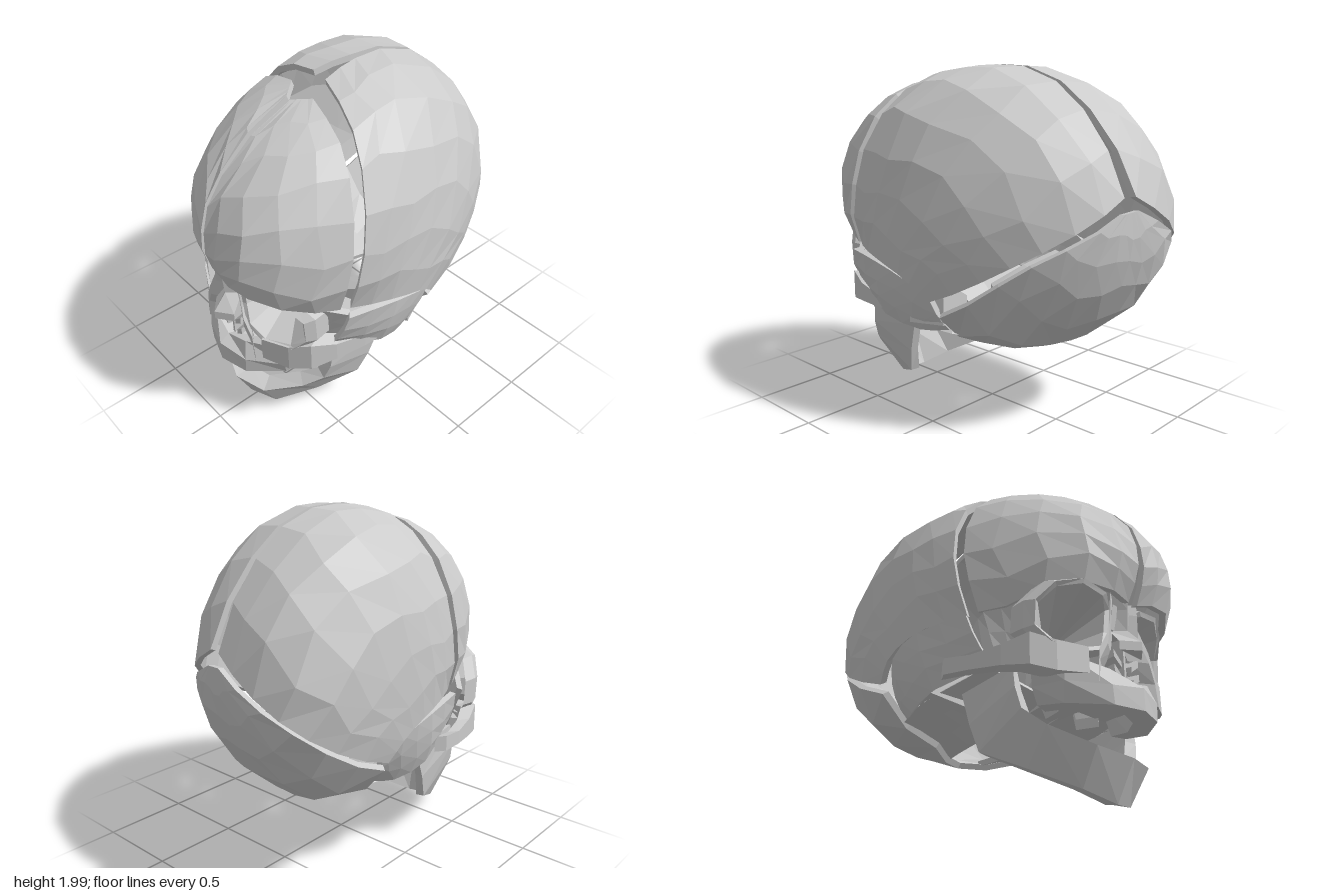
import * as THREE from 'three';

const bone = new THREE.MeshStandardMaterial({ color: 0xcccccc, flatShading: true });
const thinBone = new THREE.MeshStandardMaterial({ color: 0xcccccc, flatShading: true, side: THREE.DoubleSide });
const V = (p) => new THREE.Vector3(...p);
const flip = (p, s) => [p[0] * s, p[1], p[2]];
const center = new THREE.Vector3(0, 1.15, 0);

// Midline outline of the braincase as [z, y], turned into angle and radius
const outline = [
  [-0.96, 1.1], [-0.86, 0.8], [-0.6, 0.52], [-0.36, 0.42], [-0.1, 0.49], [0.1, 0.55], [0.35, 0.65],
  [0.6, 0.85], [0.87, 1.03], [0.93, 1.16], [0.96, 1.29], [0.9, 1.53], [0.69, 1.76], [0.3, 1.93],
  [-0.1, 2.0], [-0.37, 1.97], [-0.6, 1.83], [-0.83, 1.58], [-0.93, 1.4], [-0.96, 1.25],
].map(([z, y]) => [Math.atan2(y - 1.15, z), Math.hypot(y - 1.15, z)]);
outline.push([outline[0][0] + 2 * Math.PI, outline[0][1]]);

// Radial projection on to the braincase: midline outline rounded out to the sides
function project(p) {
  const d = p.clone().sub(center).normalize();
  let a = Math.atan2(d.y, d.z);
  if (a < outline[0][0]) a += 2 * Math.PI;
  const i = Math.max(1, outline.findIndex((q) => q[0] >= a));
  const [a0, r0] = outline[i - 1], [a1, r1] = outline[i];
  const R = r0 + ((r1 - r0) * (a - a0)) / (a1 - a0);
  // fuller at the back right, flatter at the back left, narrower at the forehead
  const n = 2.5 + 0.85 * d.x * Math.min(d.z, 0);
  const width = 0.695 - 0.09 * Math.max(d.z - 0.1, 0);
  const r = ((Math.abs(d.x) / width) ** n + (Math.hypot(d.y, d.z) / R) ** n) ** (-1 / n);
  return d.multiplyScalar(r).add(center);
}

// Skin over a row of equal rings, capped at both ends, sheared for the lopsided skull
function loft(name, rings, { shear = 0.05, open = false } = {}) {
  const n = rings[0].length, last = (rings.length - 1) * n;
  const pos = [], idx = [];
  const quad = (a, b, c, d) => idx.push(a, b, c, a, c, d);
  rings.flat().forEach((p) => pos.push(p.x, p.y, p.z + shear * p.x));
  for (let j = 0; j < rings.length - 1; j++)
    for (let i = 0; i < n; i++) {
      const k = (i + 1) % n;
      quad(j * n + i, j * n + k, (j + 1) * n + k, (j + 1) * n + i);
    }
  if (!open)
    for (let i = 0; i < Math.floor((n - 1) / 2); i++) {
      quad(i + 1, i, n - 1 - i, n - 2 - i);
      quad(last + i, last + i + 1, last + n - 2 - i, last + n - 1 - i);
    }
  // turn the faces outwards
  let volume = 0;
  const at = (i) => new THREE.Vector3().fromArray(pos, i * 3);
  for (let t = 0; t < idx.length; t += 3) volume += at(idx[t]).dot(at(idx[t + 1]).cross(at(idx[t + 2])));
  if (volume < 0) idx.reverse();
  let geo = new THREE.BufferGeometry();
  geo.setAttribute('position', new THREE.Float32BufferAttribute(pos, 3));
  geo.setIndex(idx);
  geo = geo.toNonIndexed();
  geo.computeVertexNormals();
  const mesh = new THREE.Mesh(geo, open ? thinBone : bone);
  mesh.name = name;
  return mesh;
}

// Thick plate filling four edges; left and right list only the points between the corners
function plate(name, e, s = 1) {
  const { bottom, top, left = [], right = [], nu = 7, nv = 7, curved = true, thick = 0.035, shear = 0.2 } = e;
  const curve = (pts) => new THREE.CatmullRomCurve3(pts.map((p) => V(flip(p, s))));
  const B = curve(bottom), T = curve(top);
  const L = curve([bottom[0], ...left, top[0]]);
  const R = curve([bottom.at(-1), ...right, top.at(-1)]);
  const rings = [];
  for (let j = 0; j <= nv; j++) {
    const outer = [];
    for (let i = 0; i <= nu; i++) {
      // inner grid points wander a little for irregular facets
      const inside = i > 0 && i < nu && j > 0 && j < nv;
      const u = i / nu + (inside ? (0.2 / nu) * Math.sin(i * 12.9 + j * 78.2) : 0);
      const v = j / nv + (inside ? (0.14 / nv) * Math.sin(i * 39.3 + j * 11.1) : 0);
      const p = B.getPoint(u).multiplyScalar(1 - v).addScaledVector(T.getPoint(u), v)
        .addScaledVector(L.getPoint(v), 1 - u).addScaledVector(R.getPoint(v), u)
        .addScaledVector(B.getPoint(0), -(1 - u) * (1 - v)).addScaledVector(B.getPoint(1), -u * (1 - v))
        .addScaledVector(T.getPoint(0), -(1 - u) * v).addScaledVector(T.getPoint(1), -u * v);
      outer.push(curved ? project(p) : p);
    }
    const inner = outer.map((p) => p.clone().lerp(center, thick / p.distanceTo(center)));
    rings.push([...outer, ...inner.reverse()]);
  }
  return loft(name, rings, { shear });
}

// Rings for an arch that runs from one side, across the middle, to the other
const arch = (half) => [
  ...half.slice(1).reverse().map((r) => r.map((p) => V(flip(p, -1)))),
  ...half.map((r) => r.map(V)),
];

// Bar through [x, y, z, half height, half depth, half width] stations
const bar = (name, st, s) => loft(name, st.map(([x, y, z, h, d, w = 0.02]) =>
  [[x + w, y + h, z + d], [x + w, y - h, z + d], [x - w, y - h, z - d], [x - w, y + h, z - d]]
    .map((p) => V(flip(p, s)))));

export function createModel() {
  const model = new THREE.Group();
  const cranium = new THREE.Group(), face = new THREE.Group();
  cranium.name = 'cranium';
  face.name = 'face';
  face.position.x = -0.02;
  model.add(cranium, face);

  for (const s of [1, -1]) {
    const side = s > 0 ? 'left' : 'right';
    const add = (name, e) => cranium.add(plate(side + name, e, s));
    // vault plates with open seams between them
    add('FrontalBone', {
      bottom: [[0.03, 1.05, 0.9], [0.16, 1.09, 0.88], [0.36, 1.1, 0.78], [0.5, 1.0, 0.6], [0.6, 0.98, 0.45]],
      top: [[0.02, 1.89, 0.36], [0.11, 1.92, 0.28]],
      left: [[0.018, 1.29, 0.95], [0.012, 1.6, 0.84]],
      right: [[0.62, 1.4, 0.37], [0.42, 1.8, 0.3]], nu: 5, nv: 7,
    });
    add('ParietalBone', {
      bottom: [[0.62, 0.97, 0.39], [0.68, 0.95, 0.1], [0.66, 0.88, -0.12], [0.6, 0.78, -0.22]],
      top: [[0.06, 1.97, 0.17], [0.02, 2, -0.1], [0.02, 1.83, -0.6], [0.04, 1.36, -0.95]],
      left: [[0.62, 1.4, 0.3], [0.42, 1.82, 0.22]],
      right: [[0.43, 1.07, -0.7]], nu: 7, nv: 7,
    });
    // side of the head and floor
    add('TemporalBone', {
      bottom: [[0.5, 0.7, 0.45], [0.6, 0.62, 0.15], [0.55, 0.57, -0.08], [0.47, 0.58, -0.22]],
      top: [[0.62, 0.96, 0.4], [0.68, 0.945, 0.1], [0.655, 0.87, -0.12], [0.585, 0.76, -0.21]],
      left: [[0.58, 0.82, 0.43]], right: [[0.54, 0.66, -0.22]], nu: 6, nv: 3, curved: false,
    });
    add('SkullBase', {
      bottom: [[0.1, 0.45, -0.36], [0.48, 0.57, -0.24]],
      top: [[0.08, 0.62, 0.4], [0.5, 0.7, 0.42]],
      left: [[0.14, 0.48, -0.1], [0.08, 0.54, 0.12]], right: [[0.55, 0.6, 0]], nu: 4, nv: 6, curved: false,
    });
    cranium.add(bar(side + 'PetrousRidge', [
      [0.14, 0.6, 0.14, 0.05, 0.04, 0.03], [0.34, 0.66, 0.03, 0.09, 0.07, 0.04], [0.56, 0.72, -0.06, 0.1, 0.09, 0.04],
    ], s));
    add('SphenoidWing', {
      bottom: [[0.34, 0.66, 0.5], [0.5, 0.7, 0.44]], top: [[0.46, 0.99, 0.6], [0.6, 0.95, 0.44]],
      nu: 3, nv: 3, curved: false, shear: 0.1,
    });

    // eye socket: rolled rim running back into a funnel
    const rim = [
      [0.1, 1.0, 0.79], [0.16, 1.05, 0.83], [0.3, 1.07, 0.82], [0.42, 1.03, 0.75], [0.48, 0.94, 0.68],
      [0.48, 0.82, 0.67], [0.42, 0.75, 0.72], [0.28, 0.73, 0.79], [0.17, 0.77, 0.81], [0.12, 0.87, 0.79],
    ];
    const ring = (k, dz) => rim.map(([x, y, z]) => V(flip([0.3 + (x - 0.3) * k, 0.89 + (y - 0.89) * k, z + dz], s)));
    const apex = V(flip([0.14, 0.86, 0.42], s));
    const inward = (t) => ring(1, 0).map((p) => p.lerp(apex, t));
    face.add(loft(side + 'EyeSocket',
      [ring(1.2, -0.14), ring(1.26, -0.05), ring(1.14, 0.01), ring(1, 0), inward(0.25), inward(0.6), inward(0.95)],
      { open: true }));

    // cheekbone and its arch back to the temple
    face.add(bar(side + 'Cheekbone', [
      [0.25, 0.66, 0.76, 0.07, 0.05], [0.4, 0.66, 0.69, 0.08, 0.05], [0.5, 0.69, 0.61, 0.085, 0.05],
      [0.55, 0.68, 0.48, 0.055, 0.04], [0.59, 0.68, 0.32, 0.04, 0.03], [0.61, 0.7, 0.16, 0.045, 0.03],
    ], s));
    // side wall of the nose, from the upper jaw to the brow
    face.add(bar(side + 'NoseSide', [
      [0.17, 0.58, 0.8, 0.03, 0.04, 0.07], [0.165, 0.7, 0.8, 0.03, 0.04, 0.06], [0.12, 0.8, 0.82, 0.03, 0.03, 0.05],
      [0.07, 0.92, 0.8, 0.03, 0.03, 0.05], [0.06, 1.06, 0.81, 0.03, 0.03, 0.05],
    ], s));
    face.add(bar(side + 'Pterygoid', [[0.14, 0.53, 0.46, 0.03, 0.06], [0.17, 0.72, 0.42, 0.03, 0.08]], s));
    face.add(bar(side + 'LowerTurbinate', [[0.03, 0.63, 0.75, 0.015, 0.08], [0.08, 0.67, 0.73, 0.02, 0.1]], s));
    face.add(bar(side + 'UpperTurbinate', [[0.02, 0.7, 0.75, 0.015, 0.08], [0.08, 0.75, 0.73, 0.02, 0.1]], s));
  }

  // back of the head, its right seam nearly closed
  cranium.add(plate('occipitalBone', {
    bottom: [[-0.57, 0.74, -0.22], [-0.27, 0.48, -0.23], [0, 0.42, -0.4], [0.27, 0.48, -0.23], [0.54, 0.7, -0.24]],
    top: [[-0.05, 1.29, -0.97], [0.05, 1.28, -0.97]],
    left: [[-0.43, 1.055, -0.71]], right: [[0.42, 1.035, -0.73]], nu: 8, nv: 6,
  }));

  // middle of the floor
  const box = (x, y, z) => [V([-x, y, z]), V([x, y, z])];
  cranium.add(loft('baseCore', [
    [...box(0.09, 0.5, 0.03), ...box(0.09, 0.56, 0.03).reverse()],
    [...box(0.1, 0.58, 0.25), ...box(0.12, 0.72, 0.25).reverse()],
    [...box(0.13, 0.62, 0.52), ...box(0.14, 0.86, 0.48).reverse()],
  ]));
  face.add(loft('noseRoof', [
    [...box(0.13, 0.82, 0.46), ...box(0.13, 0.88, 0.46).reverse()],
    [...box(0.07, 0.9, 0.8), ...box(0.07, 1.04, 0.82).reverse()],
  ]));

  // nose bridge, dipping in below the brow and out at the tip
  face.add(loft('nasalBones', [[0.06, 1.14, 0.86], [0.05, 1.02, 0.84], [0.06, 0.9, 0.83], [0.09, 0.81, 0.91], [0.09, 0.76, 0.91]]
    .map(([w, y, z]) => [[-w, y, z - 0.05], [0, y, z + 0.02], [w, y, z - 0.05], [0, y, z - 0.05]].map(V))));
  face.add(loft('nasalSeptum', [
    [...box(0.008, 0.58, 0.82), ...box(0.008, 0.86, 0.82).reverse()],
    [...box(0.008, 0.58, 0.5), ...box(0.008, 0.86, 0.5).reverse()],
  ]));

  // upper jaw and palate
  face.add(loft('upperJaw', arch([
    [[0, 0.6, 0.86], [0, 0.56, 0.92], [0, 0.44, 0.92], [0, 0.45, 0.8], [0, 0.57, 0.78]],
    [[0.15, 0.64, 0.84], [0.18, 0.54, 0.87], [0.17, 0.44, 0.87], [0.12, 0.45, 0.76], [0.1, 0.58, 0.74]],
    [[0.37, 0.69, 0.74], [0.36, 0.55, 0.73], [0.33, 0.45, 0.7], [0.24, 0.46, 0.64], [0.2, 0.64, 0.62]],
    [[0.45, 0.68, 0.6], [0.4, 0.55, 0.56], [0.35, 0.47, 0.55], [0.26, 0.47, 0.52], [0.2, 0.66, 0.5]],
  ])));
  face.add(loft('palate', [[0.12, 0.82], [0.24, 0.65], [0.25, 0.5]]
    .map(([w, z]) => [...box(w, 0.55, z), ...box(w, 0.59, z).reverse()])));

  // lower jaw: chin, body, angle and upright branch
  const jaw = loft('lowerJaw', arch([
    [[0, 0.22, 0.84], [0, 0.01, 0.74], [0, 0.02, 0.67], [0, 0.23, 0.73]],
    [[0.2, 0.24, 0.78], [0.18, 0.05, 0.68], [0.15, 0.07, 0.6], [0.13, 0.24, 0.69]],
    [[0.37, 0.33, 0.62], [0.33, 0.15, 0.47], [0.28, 0.16, 0.42], [0.28, 0.33, 0.57]],
    [[0.45, 0.41, 0.53], [0.44, 0.25, 0.25], [0.39, 0.25, 0.24], [0.37, 0.41, 0.51]],
    [[0.48, 0.52, 0.51], [0.47, 0.4, 0.2], [0.42, 0.4, 0.2], [0.41, 0.52, 0.49]],
    [[0.48, 0.64, 0.49], [0.48, 0.58, 0.14], [0.43, 0.58, 0.14], [0.43, 0.64, 0.47]],
  ]));
  // the chin hangs slightly to the right
  jaw.rotation.z = -0.07;
  jaw.position.set(-0.02, 0, 0);
  face.add(jaw);
  return model;
}
